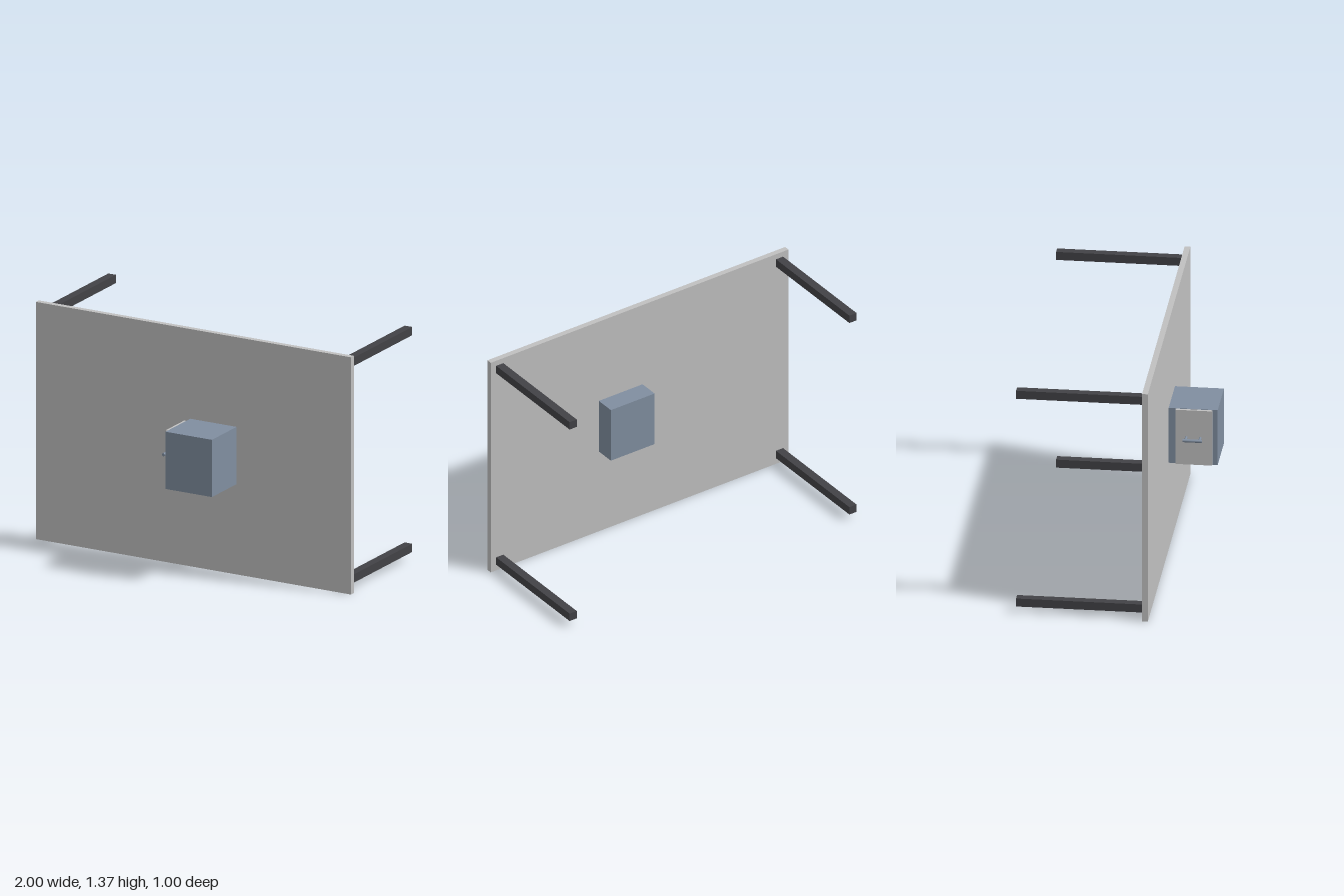
import * as THREE from 'three';

export function createModel() {
  const model = new THREE.Group();
  model.name = 'tippedTable';

  const material = (name, color) => {
    const m = new THREE.MeshStandardMaterial({ color });
    m.name = name;
    return m;
  };
  const panelGrey = material('panelGrey', 0xc0c0c0);
  const legCharcoal = material('legCharcoal', 0x424246);
  const cabinetBlue = material('cabinetBlue', 0x808ea0);

  const add = (name, geometry, mat, parent = model) => {
    const mesh = new THREE.Mesh(geometry, mat);
    mesh.name = name;
    parent.add(mesh);
    return mesh;
  };
  // Box given by its lower and upper corners
  const box = (name, mat, a, b, parent) => {
    const size = b.map((v, i) => v - a[i]);
    const mesh = add(name, new THREE.BoxGeometry(...size), mat, parent);
    mesh.position.set(...b.map((v, i) => (v + a[i]) / 2));
    return mesh;
  };

  // Upright table top
  box('tableTop', panelGrey, [-1, 0, 0.199], [1, 1.368, 0.231]);

  // Four legs reaching back from the corners
  for (const x of [-0.94, 0.94]) {
    for (const y of [0.061, 1.311]) {
      box('leg', legCharcoal, [x - 0.024, y - 0.024, -0.502], [x + 0.024, y + 0.024, 0.199]);
    }
  }

  // Cabinet passing through the top
  box('cabinet', cabinetBlue, [-0.02, 0.521, 0.084], [0.274, 0.851, 0.502]);

  // Door on the cabinet's right side
  const door = new THREE.Group();
  door.name = 'door';
  model.add(door);
  box('doorPanel', panelGrey, [-0.036, 0.523, 0.27], [-0.02, 0.849, 0.473], door);

  // Horizontal pull handle on two posts
  const handleX = -0.081, handleY = 0.686, handleZ = 0.369;
  const bar = add('handleBar', new THREE.CylinderGeometry(0.009, 0.009, 0.106, 24), cabinetBlue, door);
  bar.rotation.x = Math.PI / 2;
  bar.position.set(handleX, handleY, handleZ);
  for (const side of [-1, 1]) {
    const post = add('handlePost', new THREE.CylinderGeometry(0.007, 0.007, 0.045, 20), cabinetBlue, door);
    post.rotation.z = Math.PI / 2;
    post.position.set(-0.0585, handleY, handleZ + side * 0.039);
  }

  return model;
}
